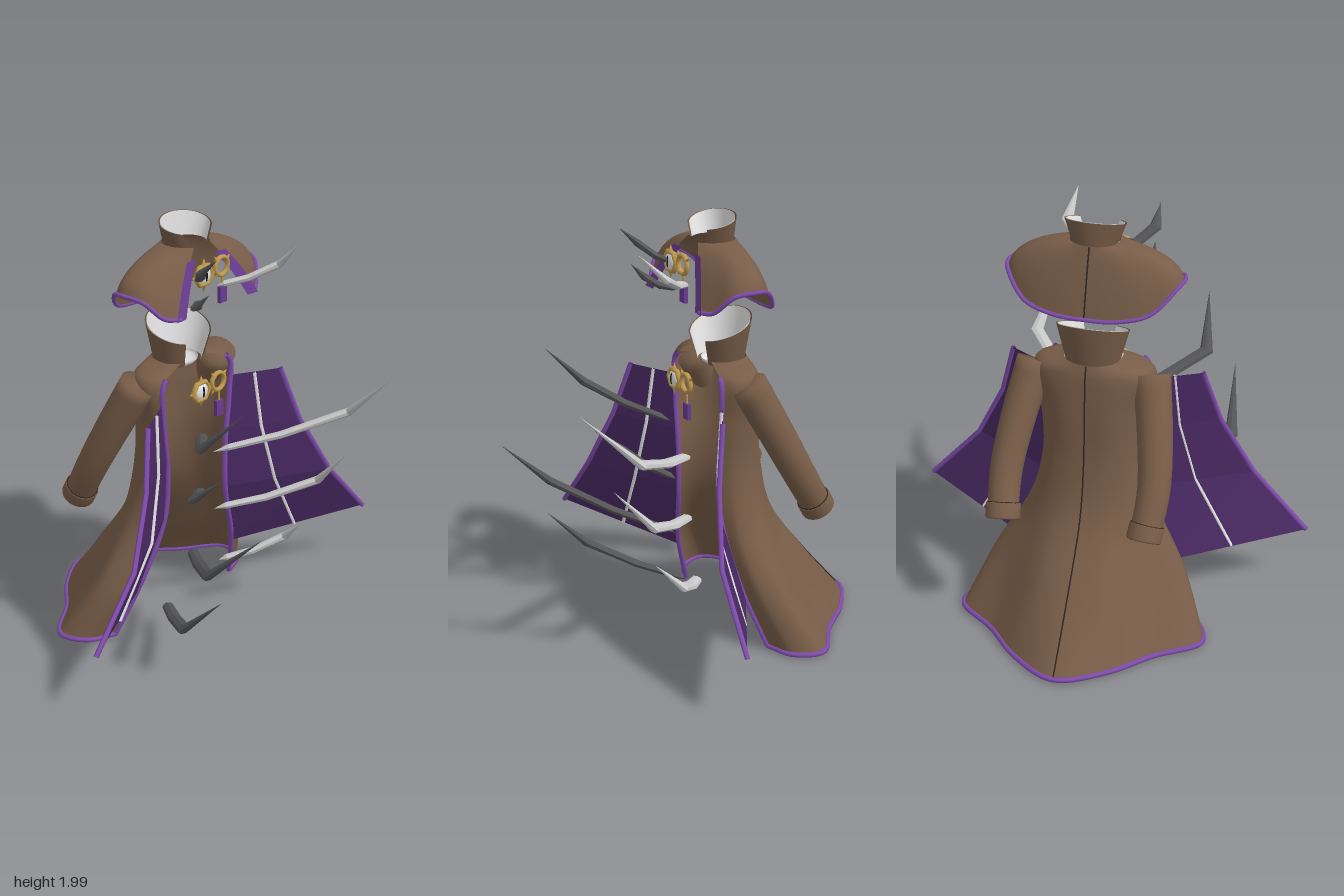
import * as THREE from 'three';

const V = (x, y, z) => new THREE.Vector3(x, y, z);
const mat = (name, color, opt = {}) =>
  Object.assign(new THREE.MeshStandardMaterial({ color, side: THREE.DoubleSide, ...opt }), { name });

const M = {
  brown: mat('coatBrown', 0x785d48),
  seam: mat('seamBrown', 0x33261e),
  purple: mat('liningPurple', 0x492963, { flatShading: true }),
  lapel: mat('lapelPurple', 0x693c90),
  trim: mat('trimPurple', 0x804cad),
  white: mat('innerWhite', 0xe4e4e4),
  gold: mat('gold', 0xc09a4c),
  light: mat('lightClaw', 0xcacaca, { flatShading: true }),
  dark: mat('darkClaw', 0x555558, { flatShading: true }),
  black: mat('pupilBlack', 0x151515),
};

const curve = pts => new THREE.CatmullRomCurve3(pts, false, 'centripetal');

function mesh(parent, name, geo, material, pos) {
  const m = new THREE.Mesh(geo, material);
  m.name = name;
  if (pos) m.position.set(...pos);
  parent.add(m);
  return m;
}

// surface through a grid of points
function skin(grid) {
  const n = grid[0].length, idx = [];
  for (let r = 0; r < grid.length - 1; r++)
    for (let c = 0; c < n - 1; c++) {
      const a = r * n + c;
      idx.push(a, a + n, a + 1, a + 1, a + n, a + n + 1);
    }
  const g = new THREE.BufferGeometry().setFromPoints(grid.flat());
  g.setIndex(idx);
  g.computeVertexNormals();
  return g;
}

// smooth grid through a few cross-sections
function loft(rows, nu, nv) {
  const fine = rows.map(r => curve(r).getPoints(nu));
  const cols = fine[0].map((_, c) => curve(fine.map(r => r[c])).getPoints(nv));
  return cols[0].map((_, r) => cols.map(c => c[r]));
}

const column = (grid, c) => grid.map(r => r.at(c));
const shift = (pts, x, y, z) => pts.map(p => V(p.x + x, p.y + y, p.z + z));
const tube = (parent, name, pts, radius, material) =>
  mesh(parent, name, new THREE.TubeGeometry(curve(pts), pts.length * 3, radius, 6), material);

// tapered sweep along points, elliptical section
function sweep(pts, radii, sides, ref, wide = 1, thick = 1) {
  const grid = pts.map((p, i) => {
    const t = pts[Math.min(i + 1, pts.length - 1)].clone().sub(pts[Math.max(i - 1, 0)]).normalize();
    const s = t.clone().cross(ref).normalize(), u = s.clone().cross(t);
    return Array.from({ length: sides + 1 }, (_, k) => {
      const a = k / sides * Math.PI * 2;
      return p.clone().addScaledVector(s, Math.cos(a) * radii[i] * wide)
        .addScaledVector(u, Math.sin(a) * radii[i] * thick);
    });
  });
  return skin(grid);
}

// half contour [x, z] mirrored into a full section, from +x front round the back
const section = (half, y) => {
  const r = half.map(([x, z, h = y]) => V(x, h, z));
  return [...r, ...r.slice(0, -1).reverse().map(p => V(-p.x, p.y, p.z))];
};

// flared collar, open at the front, with pale lining
function collar(parent, { gap, cz, y0, yFront, yBack, bottom, top }) {
  const ring = (rx, rz, yf, yb) => Array.from({ length: 33 }, (_, i) => {
    const a = gap + (Math.PI - gap) * 2 * i / 32;
    return V(rx * Math.sin(a), (yf + yb) / 2 + (yf - yb) / 2 * Math.cos(a), cz + rz * Math.cos(a));
  });
  for (const [name, d, m] of [['collar', 0, M.brown], ['collarLining', 0.007, M.white]])
    mesh(parent, name, skin([ring(bottom[0] - d, bottom[1] - d, y0, y0),
      ring(top[0] - d, top[1] - d, yFront, yBack)]), m);
}

// eye clasp with ring and hanging tag
function clasp(parent, y, z) {
  const g = new THREE.Group();
  g.name = 'clasp';
  g.position.set(0, y, z);
  parent.add(g);
  mesh(g, 'eyeFrame', new THREE.TorusGeometry(0.047, 0.011, 8, 6), M.gold, [-0.068, -0.005, 0]).scale.set(1.15, 1, 1.2);
  mesh(g, 'eyeBall', new THREE.SphereGeometry(0.041, 16, 10), M.white, [-0.068, -0.005, 0]).scale.z = 0.45;
  mesh(g, 'pupil', new THREE.SphereGeometry(0.03, 10, 8), M.black, [-0.068, -0.005, 0.016]).scale.set(0.2, 0.9, 0.2);
  mesh(g, 'claspRing', new THREE.TorusGeometry(0.042, 0.01, 8, 16), M.gold, [0.048, 0.008, 0]).scale.z = 1.2;
  const prong = (name, cx, cy, r, a) => {
    const p = mesh(g, name, new THREE.ConeGeometry(0.013, 0.035, 6), M.gold,
      [cx + Math.cos(a) * r, cy + Math.sin(a) * r, 0]);
    p.rotation.z = a - Math.PI / 2;
  };
  for (const a of [0.6, 2.3, 4]) prong('ringProng', 0.048, 0.008, 0.055, a);
  for (const a of [1.57, 3.14, 4.71]) prong('framePoint', -0.068, -0.005, 0.06, a);
  mesh(g, 'tagCord', new THREE.CylinderGeometry(0.005, 0.005, 0.06, 6), M.gold, [0.055, -0.06, 0]);
  mesh(g, 'tag', new THREE.BoxGeometry(0.045, 0.075, 0.018), M.lapel, [0.055, -0.125, 0]);
}

// bent blade, broad side turned to the front
function claw(parent, name, material, base, bend, tip, scale = 1) {
  const [a, b, c] = [base, bend, tip].map(p => V(...p));
  const pts = [a, a.clone().lerp(b, 0.12), a.clone().lerp(b, 0.5), b, c];
  pts[2].y -= 0.015 * scale;
  mesh(parent, name, sweep(pts, [0, 0.018, 0.021, 0.023, 0].map(r => r * scale), 8, V(1, 0, 0), 0.85, 1.45), material);
}

export function createModel() {
  const root = new THREE.Group();
  root.name = 'coatSet';
  const coat = new THREE.Group(), capelet = new THREE.Group();
  coat.name = 'longCoat';
  capelet.name = 'capelet';
  root.add(coat, capelet);

  // coat body, open at the front
  const body = loft([
    section([[0.09, -0.02], [0.125, -0.06], [0.13, -0.12], [0.11, -0.18], [0.06, -0.215], [0, -0.225]], 1.34),
    section([[0.22, 0], [0.27, -0.05], [0.27, -0.12], [0.22, -0.19], [0.12, -0.23], [0, -0.24]], 1.285),
    section([[0.225, 0], [0.25, -0.05], [0.25, -0.12], [0.2, -0.2], [0.11, -0.25], [0, -0.255]], 1.1),
    section([[0.2, 0], [0.235, -0.06], [0.235, -0.13], [0.19, -0.22], [0.1, -0.265], [0, -0.272]], 0.85),
    section([[0.215, -0.01], [0.28, -0.06], [0.29, -0.15], [0.23, -0.25], [0.12, -0.32], [0, -0.335]], 0.6),
    section([[0.32, -0.06], [0.42, -0.1], [0.46, -0.2], [0.33, -0.34], [0.16, -0.51], [0, -0.55]], 0.3),
    section([[0.41, -0.15], [0.54, -0.21], [0.585, -0.34], [0.39, -0.5], [0.22, -0.67], [0, -0.785]], 0.02),
  ], 60, 36);
  mesh(coat, 'coatBody', skin(body), M.brown);
  tube(coat, 'hemTrim', body.at(-1), 0.013, M.trim);
  tube(coat, 'backSeam', shift(column(body, 30), 0, 0, -0.004), 0.0035, M.seam);
  for (const c of [0, -1]) tube(coat, 'frontTrim', column(body, c).slice(5), 0.013, M.trim);
  collar(coat, { gap: 0.5, cz: -0.115, y0: 1.315, yFront: 1.43, yBack: 1.535, bottom: [0.122, 0.105], top: [0.165, 0.137] });

  // pale bowl under the collar
  mesh(coat, 'neckLining', new THREE.SphereGeometry(1, 24, 6, 0, Math.PI * 2, Math.PI / 2, Math.PI / 2),
    M.white, [0, 1.325, -0.118]).scale.set(0.1, 0.04, 0.088);

  for (const s of [1, -1]) {
    // turned-out front flaps
    const inner = [V(0.235, 1.19, 0), V(0.205, 0.92, 0), V(0.215, 0.61, -0.01), V(0.34, 0.25, -0.07)];
    const outer = [V(0.455, 1.19, 0.12), V(0.535, 0.92, 0.18), V(0.69, 0.62, 0.25), V(0.955, 0.325, 0.27)];
    for (const p of [...inner, ...outer]) p.x *= s;
    mesh(coat, 'frontFlap', skin(inner.map((p, i) => [p, outer[i]])), M.purple);
    mesh(coat, 'flapTrim', sweep(outer, [0.012, 0.012, 0.012, 0.012], 8, V(0, 0, 1)), M.trim);
    const mid = shift(inner.map((p, i) => p.clone().lerp(outer[i], 0.47)), -s * 0.003, 0, 0.004);
    mesh(coat, 'flapStripe', sweep(mid, [0.008, 0.008, 0.008, 0.008], 6, V(0, 0, 1)), M.white);

    // sleeves and cuffs
    const path = curve([V(s * 0.27, 1.275, -0.11), V(s * 0.32, 1.03, -0.235), V(s * 0.345, 0.82, -0.345), V(s * 0.33, 0.625, -0.46)]);
    const pts = path.getPoints(14), X = V(1, 0, 0);
    mesh(coat, 'sleeve', sweep([pts[0], ...pts], [0, ...pts.map((_, i) => 0.086 - i * 0.0012)], 20, X), M.brown);
    const cuff = [0.89, 0.89, 0.9, 0.99, 1, 1].map(t => path.getPoint(t));
    mesh(coat, 'cuff', sweep(cuff, [0.065, 0.076, 0.08, 0.08, 0.074, 0], 20, X), M.brown);
    const seam = mesh(coat, 'cuffSeam', new THREE.TorusGeometry(0.074, 0.003, 6, 20), M.seam);
    seam.position.copy(cuff[0]);
    seam.quaternion.setFromUnitVectors(V(0, 0, 1), path.getTangent(0.89));
  }

  // capelet over the coat: flat at front edges and back, domed over the shoulders
  const neck = section([[0.055, 0.03], [0.09, -0.01], [0.108, -0.05], [0.11, -0.08], [0.1, -0.12], [0.07, -0.15], [0.04, -0.163], [0, -0.167]], 1.89);
  const hem = section([[0.235, 0.12, 1.625], [0.3, 0.085, 1.635], [0.37, 0.02, 1.715], [0.395, -0.06, 1.73],
    [0.38, -0.13, 1.72], [0.28, -0.215, 1.62], [0.14, -0.25, 1.585], [0, -0.257, 1.58]], 1.6);
  const domes = [0.2, 0.6, 0.8, 0.8, 0.8, 0.65, 0.35, 0.2];
  const capeRows = [0, 0.2, 0.4, 0.6, 0.8, 1].map(t => neck.map((p, i) => {
    const q = hem[i], dome = domes[Math.min(i, neck.length - 1 - i)];
    const out = t + (Math.sin(t * Math.PI / 2) - t) * dome;
    const down = t + (t ** 1.6 - t) * dome;
    return V(p.x + (q.x - p.x) * out, p.y + (q.y - p.y) * down, p.z + (q.z - p.z) * (0.7 * t + 0.3 * out));
  }));
  const cape = loft(capeRows, 56, 16);
  mesh(capelet, 'capeletBody', skin(cape), M.brown);
  tube(capelet, 'capeletHemTrim', cape.at(-1).map(p => V(p.x * 1.01, p.y + 0.006, p.z * 1.02)), 0.01, M.trim);
  tube(capelet, 'capeletSeam', shift(column(cape, 28), 0, 0, -0.004), 0.0035, M.seam);
  for (const [c, s] of [[0, 1], [-1, -1]]) {
    const edge = column(cape, c).slice(3);
    mesh(capelet, 'capeletLapel', skin(edge.map(p => [V(p.x + s * 0.035, p.y, p.z + 0.008), V(p.x - s * 0.03, p.y, p.z + 0.002)])), M.lapel);
  }
  collar(capelet, { gap: 0.75, cz: -0.07, y0: 1.885, yFront: 1.945, yBack: 2, bottom: [0.106, 0.095], top: [0.137, 0.1] });

  clasp(coat, 1.235, 0.085);
  clasp(capelet, 1.79, 0.1);

  // claws: base, bend, tip
  const darkClaws = [
    [[-0.08, 1.02, 0.1], [-0.41, 1.16, 0.39], [-0.37, 1.37, 0.6]],
    [[-0.07, 0.73, 0.08], [-0.3, 0.83, 0.25], [-0.28, 0.96, 0.4]],
    [[-0.11, 0.43, 0.06], [-0.52, 0.64, 0.53], [-0.475, 0.89, 0.79]],
    [[-0.18, 0.13, -0.04], [-0.49, 0.29, 0.36], [-0.475, 0.5, 0.57]],
  ];
  const lightClaws = [
    [[0.04, 0.88, 0.06], [0.47, 1.08, 0.52], [0.41, 1.33, 0.78]],
    [[0.05, 0.58, 0.06], [0.38, 0.73, 0.42], [0.35, 0.93, 0.6]],
    [[0.1, 0.28, 0.05], [0.345, 0.39, 0.26], [0.31, 0.51, 0.38]],
  ];
  for (const c of darkClaws) claw(coat, 'darkClaw', M.dark, ...c);
  for (const c of lightClaws) claw(coat, 'lightClaw', M.light, ...c);
  claw(capelet, 'darkClaw', M.dark, [-0.07, 1.77, 0.08], [-0.2, 1.85, 0.2], [-0.2, 1.93, 0.29], 0.85);
  claw(capelet, 'darkClaw', M.dark, [-0.07, 1.65, 0.07], [-0.2, 1.69, 0.17], [-0.19, 1.76, 0.24], 0.85);
  claw(capelet, 'lightClaw', M.light, [0.04, 1.7, 0.08], [0.235, 1.8, 0.28], [0.215, 1.92, 0.4], 0.9);

  return root;
}
